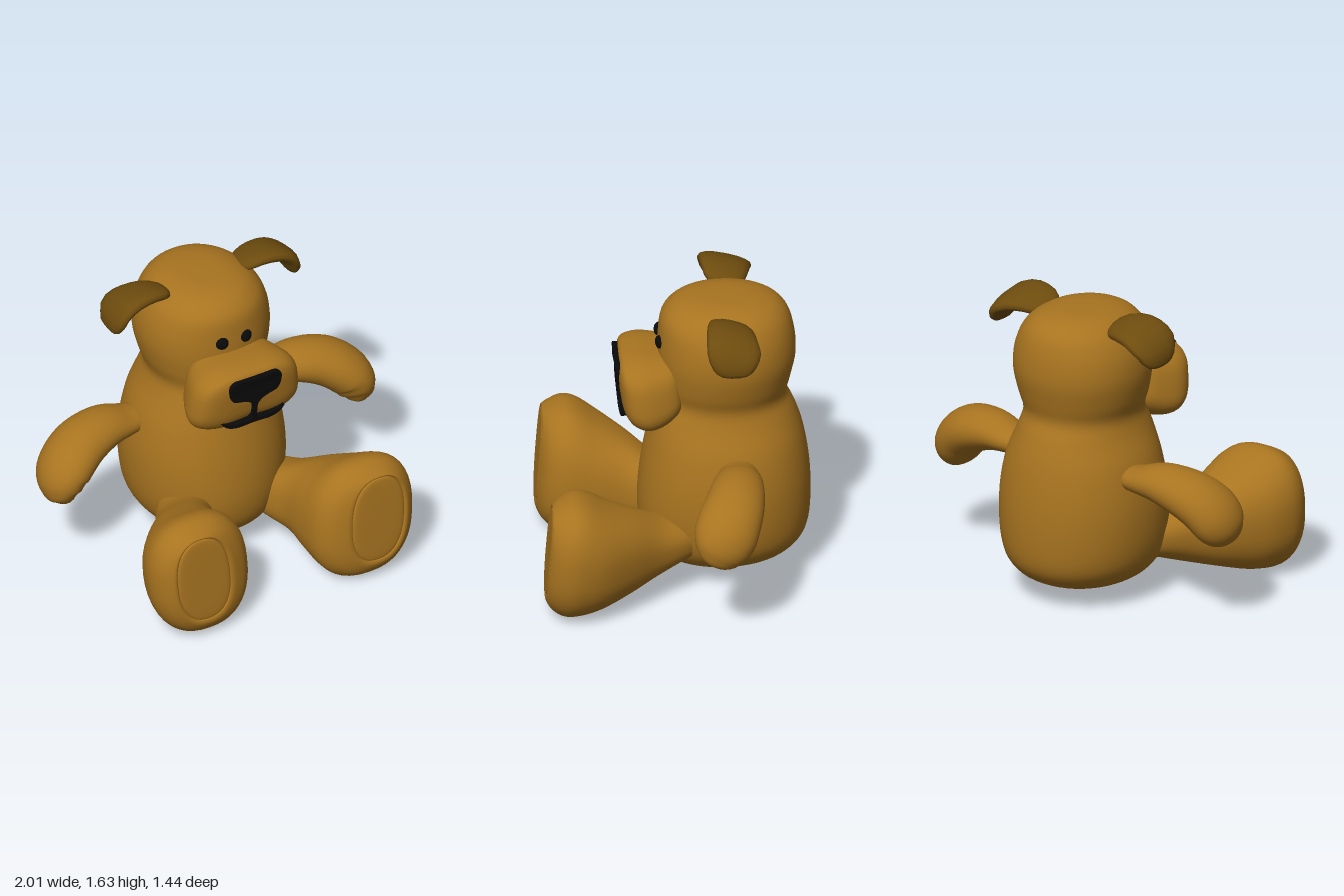
import * as THREE from 'three';

const fur = new THREE.MeshStandardMaterial({ color: 0xa87420 });
const darkFur = new THREE.MeshStandardMaterial({ color: 0x6e4c0e });
const black = new THREE.MeshStandardMaterial({ color: 0x0a0a0a });

// Smooth closed loft through sections [x, y, z, radius along ref, radius across].
// axis fixes the ring direction; without it the rings follow the path.
function loft(name, material, sections, { ref, axis, n = 2, steps = 4, sides = 36, warp }) {
  const path = new THREE.CatmullRomCurve3(
    sections.map(s => new THREE.Vector3(s[0], s[1], s[2])), false, 'catmullrom', 0.5);
  const radii = new THREE.CatmullRomCurve3(
    sections.map(s => new THREE.Vector3(s[3], s[4], 0)), false, 'catmullrom', 0.5);
  const rings = (sections.length - 1) * steps;
  const pos = [], index = [];
  const power = v => Math.sign(v) * Math.abs(v) ** (2 / n);
  for (let i = 0; i <= rings; i++) {
    const c = path.getPoint(i / rings), r = radii.getPoint(i / rings);
    const t = axis ? axis.clone() : path.getTangent(i / rings);
    const w = ref.clone().addScaledVector(t, -ref.dot(t)).normalize();
    const h = t.clone().cross(w);
    for (let j = 0; j < sides; j++) {
      const a = j / sides * Math.PI * 2;
      const p = c.clone()
        .addScaledVector(w, power(Math.cos(a)) * Math.max(r.x, 0))
        .addScaledVector(h, power(Math.sin(a)) * Math.max(r.y, 0));
      if (warp) warp(p);
      pos.push(p.x, p.y, p.z);
      if (i < rings) {
        const k = i * sides, a0 = k + j, a1 = k + (j + 1) % sides;
        index.push(a0, a1, a0 + sides, a1, a1 + sides, a0 + sides);
      }
    }
  }
  const geo = new THREE.BufferGeometry();
  geo.setAttribute('position', new THREE.Float32BufferAttribute(pos, 3));
  geo.setIndex(index);
  geo.computeVertexNormals();
  const mesh = new THREE.Mesh(geo, material);
  mesh.name = name;
  return mesh;
}

// Flat shape pushed out of the muzzle and bent to its front
function muzzleMark(name, shape) {
  const geo = new THREE.ExtrudeGeometry(shape, { depth: 0.07, bevelEnabled: false, curveSegments: 10 });
  const p = geo.attributes.position;
  for (let i = 0; i < p.count; i++) {
    const x = p.getX(i), y = p.getY(i);
    p.setZ(i, p.getZ(i) + 0.265 + 0.1 * (y - 1.25) - 0.45 * x * x);
  }
  geo.computeVertexNormals();
  const mesh = new THREE.Mesh(geo, black);
  mesh.name = name;
  return mesh;
}

export function createModel() {
  const model = new THREE.Group();
  model.name = 'plushDog';
  const X = 1, Y = new THREE.Vector3(0, 1, 0), Z = new THREE.Vector3(0, 0, 1);

  // Body and head in one skin: y, z centre, z radius, x radius
  const torso = [
    [0.08, -0.26, 0, 0], [0.086, -0.245, 0.2, 0.18], [0.11, -0.24, 0.31, 0.27],
    [0.16, -0.25, 0.385, 0.34], [0.25, -0.255, 0.44, 0.4], [0.4, -0.255, 0.46, 0.43],
    [0.6, -0.26, 0.45, 0.43], [0.8, -0.262, 0.418, 0.392], [0.95, -0.255, 0.378, 0.33],
    [1.05, -0.255, 0.335, 0.305], [1.15, -0.26, 0.35, 0.335], [1.28, -0.268, 0.368, 0.36],
    [1.4, -0.268, 0.362, 0.352], [1.5, -0.262, 0.342, 0.315], [1.56, -0.262, 0.3, 0.265],
    [1.595, -0.26, 0.24, 0.205], [1.614, -0.26, 0.14, 0.12], [1.617, -0.26, 0, 0],
  ];
  model.add(loft('bodyAndHead', fur, torso.map(([y, z, rz, rx]) => [0, y, z, rz, rx]),
    { ref: Z, axis: Y, n: 2.1, sides: 48 }));

  // Muzzle: z, y centre, y radius, x radius; leans forward and widens below
  const muzzle = [
    [-0.025, 1.15, 0, 0], [-0.02, 1.15, 0.1, 0.18], [0, 1.15, 0.155, 0.25],
    [0.08, 1.125, 0.19, 0.295], [0.17, 1.115, 0.205, 0.32], [0.24, 1.12, 0.19, 0.305],
    [0.28, 1.13, 0.16, 0.26], [0.3, 1.13, 0.1, 0.17], [0.305, 1.13, 0, 0],
  ];
  model.add(loft('muzzle', fur, muzzle.map(([z, y, ry, rx]) => [0, y, z, ry, rx]), {
    ref: Y, axis: Z, n: 3.2, sides: 48,
    warp: p => {
      p.z += 0.12 * (p.y - 1.13);
      p.x *= 1 - 0.4 * (p.y - 1.1);
      if (p.y < 1.1) p.y += 0.02 * Math.max(0, 1 - Math.abs(p.x) / 0.15);
    },
  }));

  // Nose with the line below it
  const nose = new THREE.Shape();
  nose.moveTo(0, 1.28);
  nose.lineTo(-0.11, 1.28);
  nose.quadraticCurveTo(-0.16, 1.275, -0.157, 1.23);
  nose.quadraticCurveTo(-0.155, 1.155, -0.11, 1.15);
  nose.quadraticCurveTo(-0.02, 1.14, -0.012, 1.09);
  nose.lineTo(-0.01, 1.02);
  nose.lineTo(-0.03, 0.985);
  nose.lineTo(0.03, 0.985);
  nose.lineTo(0.01, 1.02);
  nose.lineTo(0.012, 1.09);
  nose.quadraticCurveTo(0.02, 1.14, 0.11, 1.15);
  nose.quadraticCurveTo(0.155, 1.155, 0.157, 1.23);
  nose.quadraticCurveTo(0.16, 1.275, 0.11, 1.28);
  model.add(muzzleMark('nose', nose));

  // Smiling mouth
  const mouth = new THREE.Shape();
  mouth.moveTo(-0.19, 1.012);
  mouth.quadraticCurveTo(-0.14, 0.988, 0, 0.995);
  mouth.quadraticCurveTo(0.14, 0.988, 0.19, 1.012);
  mouth.quadraticCurveTo(0.16, 0.965, 0.08, 0.969);
  mouth.quadraticCurveTo(0, 0.983, -0.08, 0.969);
  mouth.quadraticCurveTo(-0.16, 0.965, -0.19, 1.012);
  model.add(muzzleMark('mouth', mouth));

  for (const side of [X, -X]) {
    const label = side > 0 ? 'left' : 'right';
    const mirror = list => list.map(([x, ...rest]) => [x * side, ...rest]);

    // Eye
    const eye = new THREE.Mesh(new THREE.SphereGeometry(1, 20, 14), black);
    eye.name = label + 'Eye';
    eye.scale.set(0.035, 0.036, 0.022);
    eye.position.set(side * 0.073, 1.378, 0.09);
    eye.rotation.y = side * 0.25;
    model.add(eye);

    // Drooping ear
    model.add(loft(label + 'Ear', darkFur, mirror([
      [0.22, 1.555, -0.27, 0, 0], [0.235, 1.56, -0.27, 0.09, 0.03], [0.32, 1.58, -0.275, 0.125, 0.04],
      [0.42, 1.573, -0.28, 0.14, 0.043], [0.5, 1.53, -0.285, 0.145, 0.042],
      [0.535, 1.46, -0.285, 0.115, 0.035], [0.542, 1.42, -0.285, 0.07, 0.02], [0.543, 1.41, -0.285, 0, 0],
    ]), { ref: new THREE.Vector3(0, 0.25, 1).normalize(), n: 2.4, steps: 2, sides: 16 }));

    // Arm curving outward and down
    model.add(loft(label + 'Arm', fur, mirror([
      [0.33, 0.74, -0.31, 0, 0], [0.35, 0.745, -0.31, 0.08, 0.055], [0.45, 0.755, -0.31, 0.115, 0.075],
      [0.58, 0.765, -0.3, 0.14, 0.105], [0.72, 0.735, -0.275, 0.16, 0.125],
      [0.82, 0.68, -0.24, 0.17, 0.13], [0.88, 0.61, -0.21, 0.165, 0.125],
      [0.9, 0.54, -0.18, 0.13, 0.1], [0.9, 0.495, -0.16, 0.07, 0.055], [0.9, 0.475, -0.155, 0, 0],
    ]), { ref: Z }));

    // Leg flaring to a big foot, with a pad pressed into the sole
    model.add(loft(label + 'Leg', fur, mirror([
      [0.22, 0.28, -0.2, 0, 0], [0.22, 0.285, -0.17, 0.07, 0.08], [0.25, 0.295, -0.05, 0.11, 0.15],
      [0.32, 0.29, 0.1, 0.16, 0.18], [0.415, 0.305, 0.25, 0.225, 0.215],
      [0.47, 0.32, 0.4, 0.29, 0.27], [0.492, 0.342, 0.52, 0.338, 0.292],
      [0.5, 0.352, 0.6, 0.345, 0.284], [0.51, 0.36, 0.665, 0.312, 0.245],
      [0.525, 0.375, 0.7, 0.275, 0.19], [0.53, 0.385, 0.703, 0.258, 0.165],
      [0.53, 0.385, 0.696, 0.25, 0.157], [0.53, 0.385, 0.707, 0.235, 0.143],
      [0.53, 0.385, 0.71, 0.12, 0.07], [0.53, 0.385, 0.71, 0, 0],
    ]), {
      ref: Y, axis: Z, n: 2.4, sides: 44,
      warp: p => {
        p.x += side * 0.06 * (p.y - 0.35);
        p.z -= 0.08 * (p.y - 0.35);
      },
    }));
  }
  return model;
}
